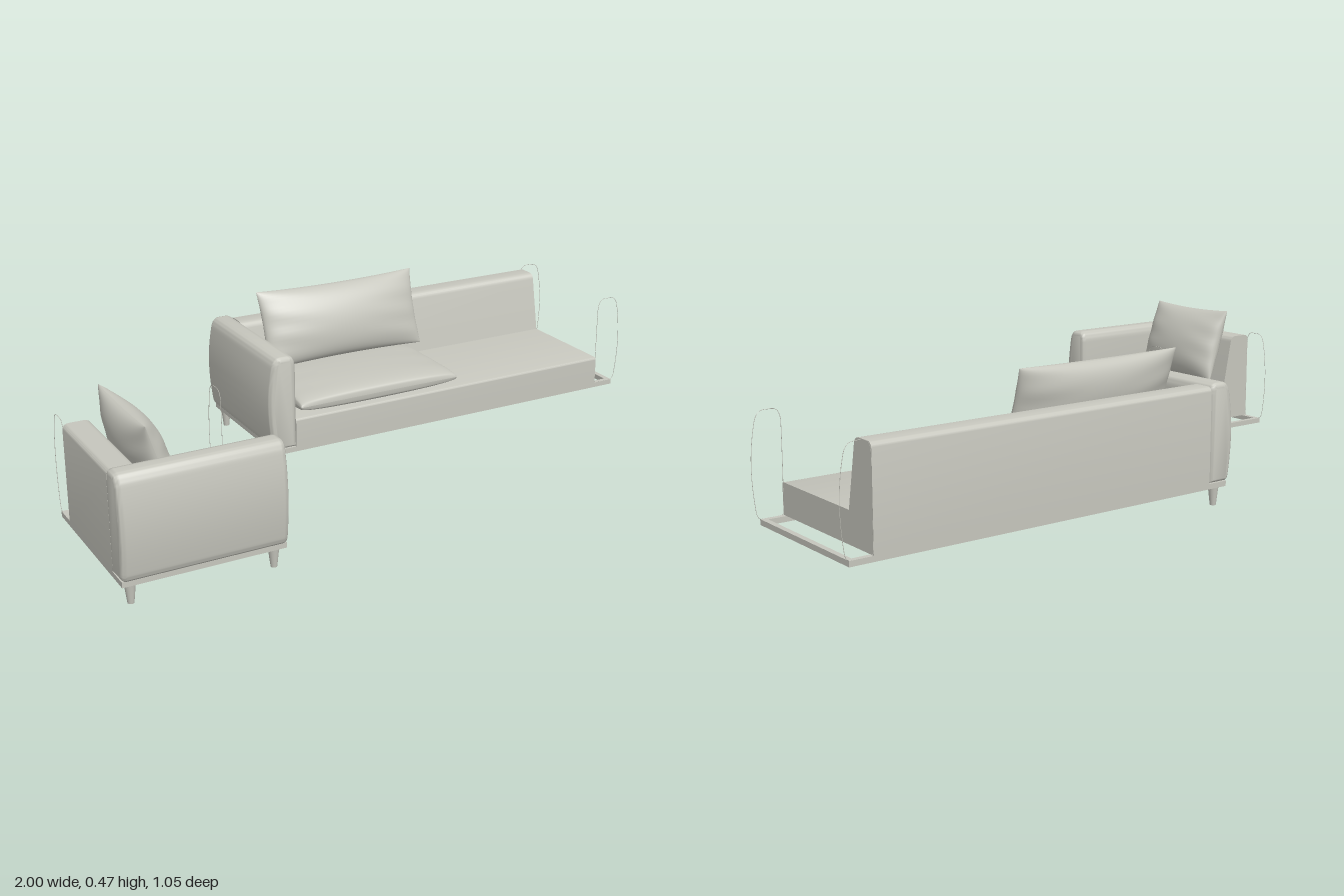
import * as THREE from 'three';
import { mergeGeometries, toCreasedNormals } from 'three/addons/utils/BufferGeometryUtils.js';

const fabric = new THREE.MeshStandardMaterial({ color: 0xc6c6bd });
fabric.name = 'light grey';

function add(group, name, geometry, x = 0, y = 0, z = 0) {
  const mesh = new THREE.Mesh(geometry, fabric);
  mesh.name = name;
  mesh.position.set(x, y, z);
  group.add(mesh);
  return mesh;
}

// Armrest section: straight inside, bulging outside (outer side at x = 0)
function armShape() {
  const s = new THREE.Shape();
  s.moveTo(0.022, 0.075);
  s.lineTo(0.085, 0.075);
  s.quadraticCurveTo(0.091, 0.075, 0.091, 0.085);
  s.lineTo(0.091, 0.335);
  s.quadraticCurveTo(0.089, 0.37, 0.065, 0.37);
  s.lineTo(0.042, 0.37);
  s.quadraticCurveTo(0.018, 0.37, 0.012, 0.335);
  s.bezierCurveTo(-0.003, 0.26, -0.004, 0.19, 0.009, 0.1);
  s.quadraticCurveTo(0.012, 0.077, 0.022, 0.075);
  return s;
}

function armGeometry() {
  const bevel = 0.015, depth = 0.468;
  const g = new THREE.ExtrudeGeometry(armShape(), {
    depth: depth - 2 * bevel, bevelThickness: bevel, bevelSize: bevel,
    bevelOffset: -bevel, bevelSegments: 4, curveSegments: 8,
  });
  g.translate(0, 0, -depth / 2 + bevel);
  return toCreasedNormals(g, 0.8);
}

// Seat and sloping backrest in one section, run along x
function bodyGeometry(length) {
  const s = new THREE.Shape();
  s.moveTo(-0.232, 0.075);
  s.lineTo(0.231, 0.075);
  s.lineTo(0.231, 0.34);
  s.quadraticCurveTo(0.231, 0.361, 0.212, 0.361);
  s.lineTo(0.172, 0.361);
  s.quadraticCurveTo(0.153, 0.361, 0.149, 0.342);
  s.lineTo(0.116, 0.166);
  s.lineTo(-0.224, 0.166);
  s.quadraticCurveTo(-0.232, 0.166, -0.232, 0.158);
  s.closePath();
  const g = new THREE.ExtrudeGeometry(s, { depth: length, bevelEnabled: false, curveSegments: 6 });
  g.rotateY(Math.PI / 2);
  return toCreasedNormals(g, 0.6);
}

// Pillow lying in the xy plane: two domed sheets meeting at a seam
function pillowGeometry(w, h, thick, power, pinch, crease) {
  const sides = [1, -1].map((side) => {
    const g = new THREE.PlaneGeometry(2, 2, 36, 28);
    if (side < 0) g.rotateY(Math.PI);
    const p = g.attributes.position;
    for (let i = 0; i < p.count; i++) {
      const u = Math.sin(p.getX(i) * Math.PI / 2);
      const v = Math.sin(p.getY(i) * Math.PI / 2);
      const dome = Math.pow(Math.max(0, (1 - u * u) * (1 - v * v)), power);
      const fold = 1 + crease * Math.sin(v * 11 + u * 3) * u * u;
      p.setXYZ(i,
        w / 2 * u * (1 - pinch * 0.5 * (1 - v * v)),
        h / 2 * v * (1 - pinch * (1 - u * u)),
        side * thick / 2 * dome * fold);
    }
    g.computeVertexNormals();
    return g;
  });
  return mergeGeometries(sides);
}

// One sofa module: arm at x = 0, open end at +x, facing +z
function sofaModule(name, bodyEnd) {
  const group = new THREE.Group();
  group.name = name;
  const bodyStart = 0.088;
  add(group, 'armrest', armGeometry());
  add(group, 'seatAndBackrest', bodyGeometry(bodyEnd - bodyStart), bodyStart);

  // Base frame, projecting past the open end
  const x0 = 0.022, x1 = bodyEnd + 0.07, rail = 0.016, y = 0.067;
  for (const side of [-1, 1]) {
    add(group, 'sideRail', new THREE.BoxGeometry(x1 - x0, 0.016, rail), (x0 + x1) / 2, y, side * 0.223);
  }
  for (const x of [x0 + rail / 2, x1 - rail / 2]) {
    add(group, 'endRail', new THREE.BoxGeometry(rail, 0.016, 0.43), x, y, 0);
  }

  // Tapered legs under the armrest
  for (const side of [-1, 1]) {
    add(group, 'leg', new THREE.CylinderGeometry(0.016, 0.009, 0.06, 16), 0.045, 0.03, side * 0.2025);
  }

  // Fine outline loops standing at the open end
  const pts = armShape().getPoints(8).slice(0, -1)
    .map((p) => new THREE.Vector3(bodyEnd + 0.091 - p.x, p.y, 0));
  const curve = new THREE.CatmullRomCurve3(pts, true, 'centripetal');
  for (const side of [-1, 1]) {
    add(group, 'outlineLoop', new THREE.TubeGeometry(curve, 80, 0.0008, 5, true), 0, 0, side * 0.229);
  }
  return group;
}

function addBackCushion(group, width, x, y) {
  const cushion = add(group, 'backCushion', pillowGeometry(width, 0.25, 0.118, 0.5, 0.06, 0.06), x, y, -0.083);
  cushion.rotation.x = -0.31;
}

export function createModel() {
  const model = new THREE.Group();
  model.name = 'sofaSet';

  // Long sofa
  const long = sofaModule('longSofa', 1.22);
  long.position.set(-0.313, 0, -0.29);
  const seat = add(long, 'seatCushion', pillowGeometry(0.556, 0.355, 0.076, 0.24, 0.015, 0.03), 0.381, 0.201, 0.062);
  seat.rotation.x = -Math.PI / 2;
  addBackCushion(long, 0.565, 0.41, 0.347);
  model.add(long);

  // Short sofa, turned to face +x
  const short = sofaModule('shortSofa', 0.427);
  short.position.set(-0.767, 0, 0.527);
  short.rotation.y = Math.PI / 2;
  addBackCushion(short, 0.345, 0.262, 0.334);
  model.add(short);

  return model;
}
